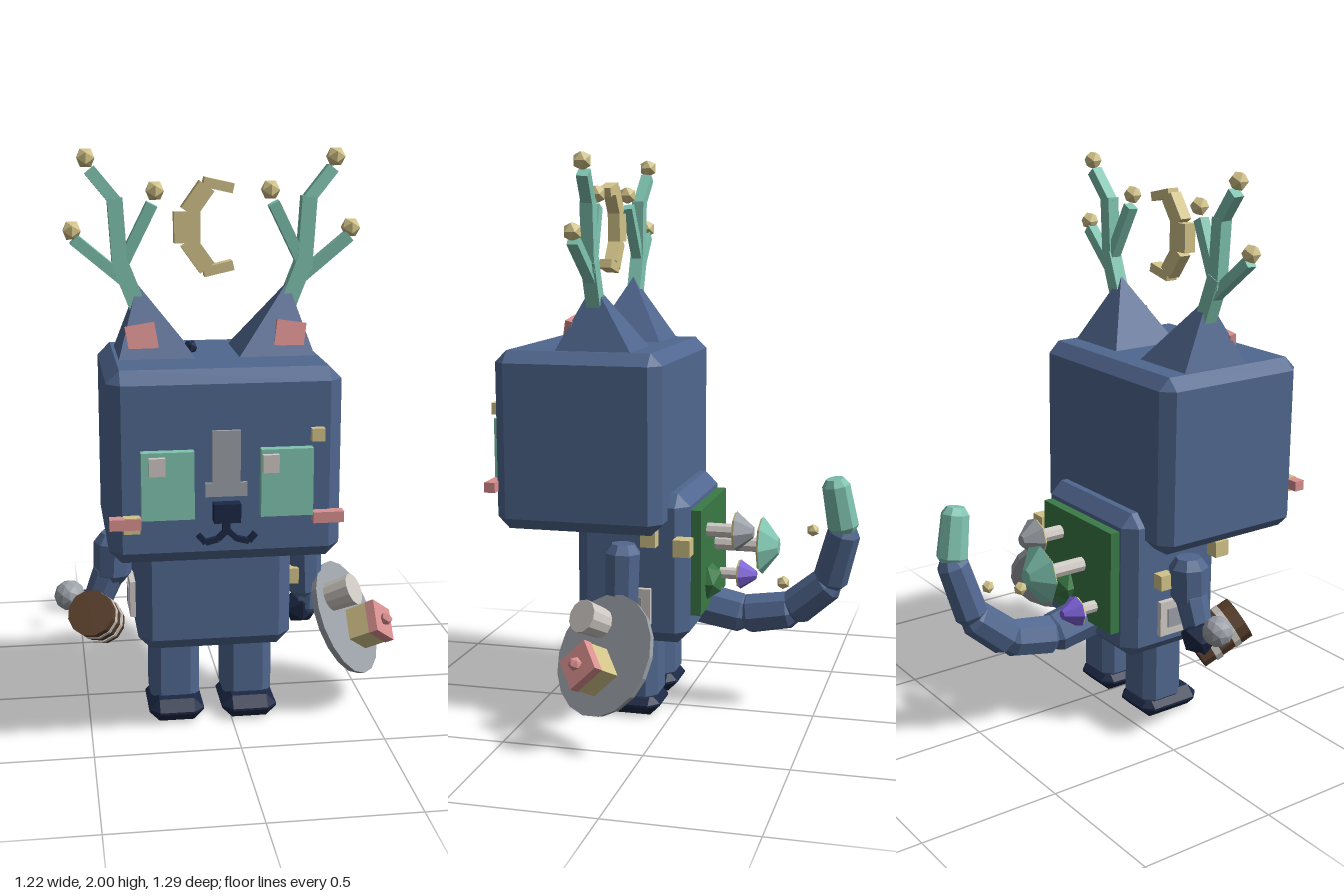
import * as THREE from 'three';
import { ConvexGeometry } from 'three/addons/geometries/ConvexGeometry.js';

const mat = (name, color) => new THREE.MeshStandardMaterial({ name, color, flatShading: true });
const V = (x, y, z) => new THREE.Vector3(x, y, z);
const UP = V(0, 1, 0);
const CX = -0.065; // symmetry plane of the character

export function createModel() {
  const root = new THREE.Group();
  root.name = 'creature';
  const blue = mat('blue fur', 0x50678f), navy = mat('navy', 0x1b2744), mint = mat('mint', 0x7fc4b0),
    gold = mat('gold', 0xd2c389), pink = mat('pink', 0xda9090), grey = mat('grey', 0x9ca1a8),
    cream = mat('off white', 0xcfc9c4), green = mat('moss green', 0x3a7a46),
    brown = mat('brown', 0x5a402c), purple = mat('purple', 0x7b5fd6);

  function add(name, geo, material, x = 0, y = 0, z = 0, parent = root) {
    const m = new THREE.Mesh(geo, material);
    m.name = name;
    m.position.set(x, y, z);
    parent.add(m);
    return m;
  }
  const box = (name, material, w, h, d, x, y, z, parent) =>
    add(name, new THREE.BoxGeometry(w, h, d), material, x, y, z, parent);
  const ball = (name, material, r, x, y, z, parent) =>
    add(name, new THREE.IcosahedronGeometry(r, 0), material, x, y, z, parent);

  // Box with every edge cut at 45 degrees
  function chamferBox(w, h, d, c) {
    const pts = [];
    for (const i of [-1, 1]) for (const j of [-1, 1]) for (const k of [-1, 1]) {
      const x = i * w / 2, y = j * h / 2, z = k * d / 2;
      pts.push(V(x, y - j * c, z - k * c), V(x - i * c, y, z - k * c), V(x - i * c, y - j * c, z));
    }
    return new ConvexGeometry(pts);
  }
  // Faceted limb with tapered ends, running from a to b
  function limb(name, material, a, b, r0, r1, sides = 8) {
    const half = a.distanceTo(b) / 2;
    const pts = [[0, -half], [r0 * 0.65, -half], [r0, -half + r0 * 0.5],
      [r1, half - r1 * 0.5], [r1 * 0.65, half], [0, half]].map(p => new THREE.Vector2(...p));
    const m = add(name, new THREE.LatheGeometry(pts, sides), material);
    m.position.lerpVectors(a, b, 0.5);
    m.quaternion.setFromUnitVectors(UP, b.clone().sub(a).normalize());
    return m;
  }
  // Square bar from a to b
  function bar(name, material, a, b, w, d) {
    const m = box(name, material, w, a.distanceTo(b), d, 0, 0, 0);
    m.position.lerpVectors(a, b, 0.5);
    m.quaternion.setFromUnitVectors(UP, b.clone().sub(a).normalize());
    return m;
  }

  // Head and body
  add('head', chamferBox(0.75, 0.63, 0.6, 0.042), blue, CX, 1.015, 0.29);
  add('body', chamferBox(0.53, 0.54, 0.41, 0.045), blue, CX, 0.56, 0.125);

  // Paired parts
  for (const s of [-1, 1]) {
    const X = o => CX + s * o;
    add('leg', chamferBox(0.175, 0.3, 0.17, 0.035), blue, X(0.13), 0.19, 0.135);
    add('foot', chamferBox(0.195, 0.08, 0.25, 0.036), navy, X(0.13), 0.04, 0.165);

    // Face
    box('eye', mint, 0.168, 0.22, 0.035, X(0.19), 0.97, 0.605);
    box('eyeHighlight', cream, 0.052, 0.058, 0.02, CX + s * 0.18 - 0.045, 1.037, 0.63);
    box('cheek', pink, 0.1, 0.036, 0.04, X(0.325), 0.85, 0.605);
    const lip = [[0, 0.815], [0.03, 0.785], [0.07, 0.775], [0.092, 0.8]];
    for (let i = 0; i < 3; i++)
      bar('mouth', navy, V(X(lip[i][0]), lip[i][1], 0.598), V(X(lip[i + 1][0]), lip[i + 1][1], 0.598), 0.018, 0.02);

    // Ears
    add('ear', new ConvexGeometry([V(X(0.065), 1.32, 0.1), V(X(0.325), 1.32, 0.1), V(X(0.325), 1.32, 0.38),
      V(X(0.065), 1.32, 0.38), V(X(0.25), 1.56, 0.255)]), blue);
    const inner = box('innerEar', pink, 0.098, 0.085, 0.025, X(0.245), 1.397, 0.338);
    inner.rotation.set(-0.2, 0, -s * 0.15);

    // Antlers: trunk, then two side branches, each ending in a bud
    const A = (o, y, z = 0.25) => V(X(o), y, z);
    bar('antler', mint, A(0.24, 1.46), A(0.31, 1.64), 0.055, 0.05);
    bar('antler', mint, A(0.305, 1.6), A(0.32, 1.84), 0.05, 0.045);
    bar('antler', mint, A(0.31, 1.82), A(0.4, 1.93, 0.24), 0.04, 0.04);
    bar('antlerBranch', mint, A(0.29, 1.57), A(0.455, 1.71, 0.26), 0.038, 0.038);
    bar('antlerBranch', mint, A(0.295, 1.63), A(0.2, 1.82, 0.26), 0.038, 0.038);
    ball('antlerBud', gold, 0.034, X(0.41), 1.967, 0.24);
    ball('antlerBud', gold, 0.034, X(0.46), 1.737, 0.26);
    ball('antlerBud', gold, 0.034, X(0.19), 1.862, 0.26);

    // Framed plates on the flanks
    box('sidePlate', cream, 0.025, 0.13, 0.12, X(0.272), 0.43, 0.11);
    box('sidePlateCentre', grey, 0.008, 0.07, 0.06, X(0.286), 0.43, 0.11);
  }

  // Muzzle
  box('noseBridge', grey, 0.09, 0.18, 0.02, -0.067, 1.05, 0.592);
  box('noseBase', grey, 0.135, 0.045, 0.02, -0.067, 0.948, 0.592);
  box('nose', navy, 0.086, 0.062, 0.045, -0.067, 0.876, 0.607);
  box('noseStem', navy, 0.025, 0.05, 0.02, -0.067, 0.825, 0.598);
  ball('topTuft', navy, 0.025, -0.14, 1.345, 0.25);

  // Small gold patches: x, y, z, size
  for (const [x, y, z, s] of [[0.225, 1.12, 0.595, 0.042], [-0.37, 0.845, 0.598, 0.052], [-0.35, 0.655, 0.3, 0.058],
    [-0.345, 0.58, 0.06, 0.055], [0.22, 0.655, -0.07, 0.06], [0.22, 0.68, 0.05, 0.055], [0.222, 0.5, 0.17, 0.056]])
    box('goldPatch', gold, s, s, s, x, y, z);

  // Crescent floating between the antlers: x, y, width, height, tilt
  for (const [x, y, w, h, t] of [[-0.05, 1.88, 0.1, 0.032, -0.22], [-0.118, 1.835, 0.105, 0.058, 0.95],
    [-0.153, 1.745, 0.085, 0.1, 0], [-0.118, 1.655, 0.105, 0.058, -0.95], [-0.05, 1.61, 0.1, 0.032, 0.22]])
    box('crescent', gold, w, h, 0.045, x, y, 0.27).rotation.z = t;

  // Arms and paws
  limb('leftArm', blue, V(0.275, 0.67, 0.13), V(0.285, 0.4, 0.135), 0.064, 0.06);
  limb('leftForearm', blue, V(0.3, 0.5, 0.13), V(0.29, 0.34, 0.14), 0.055, 0.05);
  ball('leftPaw', navy, 0.065, 0.27, 0.36, 0.13);
  limb('rightArm', blue, V(-0.4, 0.67, 0.13), V(-0.41, 0.49, 0.13), 0.07, 0.066);
  limb('rightForearm', blue, V(-0.41, 0.55, 0.13), V(-0.47, 0.4, 0.13), 0.058, 0.052);
  ball('rightPaw', navy, 0.068, -0.48, 0.4, 0.12);

  // Mug in the right paw, with a round knob beside it
  const mug = new THREE.Group();
  mug.name = 'mug';
  mug.position.set(-0.468, 0.385, 0.21);
  mug.quaternion.setFromUnitVectors(UP, V(-0.27, 0.5, 0.8).normalize());
  root.add(mug);
  for (const [m, r, h, y] of [[brown, 0.076, 0.05, -0.075], [cream, 0.082, 0.025, -0.04], [brown, 0.078, 0.06, 0],
    [cream, 0.082, 0.025, 0.04], [brown, 0.08, 0.045, 0.075]])
    add('mugBand', new THREE.CylinderGeometry(r, r, h, 12), m, 0, y, 0, mug);
  add('mugKnob', new THREE.IcosahedronGeometry(0.055, 1), grey, -0.56, 0.445, 0.136);

  // Round tray on the left paw, with a cup and a cake
  const tray = new THREE.Group();
  tray.name = 'tray';
  tray.position.set(0.43, 0.315, 0.15);
  tray.quaternion.setFromUnitVectors(UP, V(0.75, 0.45, 0.45).normalize());
  root.add(tray);
  add('trayDisc', new THREE.CylinderGeometry(0.212, 0.205, 0.025, 18), grey, 0, 0, 0, tray);
  add('cup', new THREE.CylinderGeometry(0.058, 0.052, 0.1, 12), cream, -0.115, 0.06, 0, tray);
  box('cake', gold, 0.115, 0.09, 0.115, 0.06, 0.055, 0.015, tray).rotation.y = 0.35;
  box('icing', pink, 0.12, 0.035, 0.12, 0.06, 0.112, 0.015, tray).rotation.y = 0.35;
  ball('cherry', pink, 0.024, 0.06, 0.14, 0.015, tray);

  // Moss panel and mushrooms on the back
  box('mossPanel', green, 0.423, 0.38, 0.045, CX, 0.58, -0.094);
  ball('mossClump', green, 1, 0.015, 0.485, -0.12).scale.set(0.075, 0.068, 0.048);
  for (const [m, x, y, z, r, h, sr] of [[mint, -0.097, 0.6, -0.292, 0.108, 0.06, 0.027],
    [grey, 0.041, 0.68, -0.224, 0.073, 0.06, 0.026], [purple, -0.177, 0.465, -0.195, 0.057, 0.06, 0.022]]) {
    const shroom = new THREE.Group();
    shroom.name = 'mushroom';
    shroom.position.set(x, y, z);
    shroom.rotation.x = -Math.PI / 2;
    root.add(shroom);
    const len = -z - 0.1;
    add('stem', new THREE.CylinderGeometry(sr, sr, len, 8), cream, 0, -len / 2, 0, shroom);
    add('capRim', new THREE.CylinderGeometry(r * 0.96, r * 0.9, 0.009, 8), gold, 0, -0.004, 0, shroom);
    add('cap', new THREE.CylinderGeometry(r * 0.28, r, h, 8), m, 0, h / 2, 0, shroom);
  }

  // Tail curling up behind, with a mint tip
  const tail = [V(-0.07, 0.385, -0.03), V(-0.07, 0.345, -0.235), V(-0.065, 0.375, -0.41),
    V(-0.052, 0.49, -0.545), V(-0.02, 0.69, -0.6)];
  for (let i = 0; i < 4; i++) {
    const over = tail[i + 1].clone().sub(tail[i]).setLength(0.02);
    limb('tail', blue, tail[i].clone().sub(over), tail[i + 1].clone().add(over), 0.078 - i * 0.005, 0.074 - i * 0.005);
  }
  limb('tailTip', mint, V(-0.015, 0.68, -0.6), V(0.005, 0.88, -0.565), 0.056, 0.05);

  // Drifting spores
  ball('spore', gold, 0.024, -0.23, 0.635, -0.457);
  ball('spore', gold, 0.024, 0.085, 0.515, -0.4);

  return root;
}
